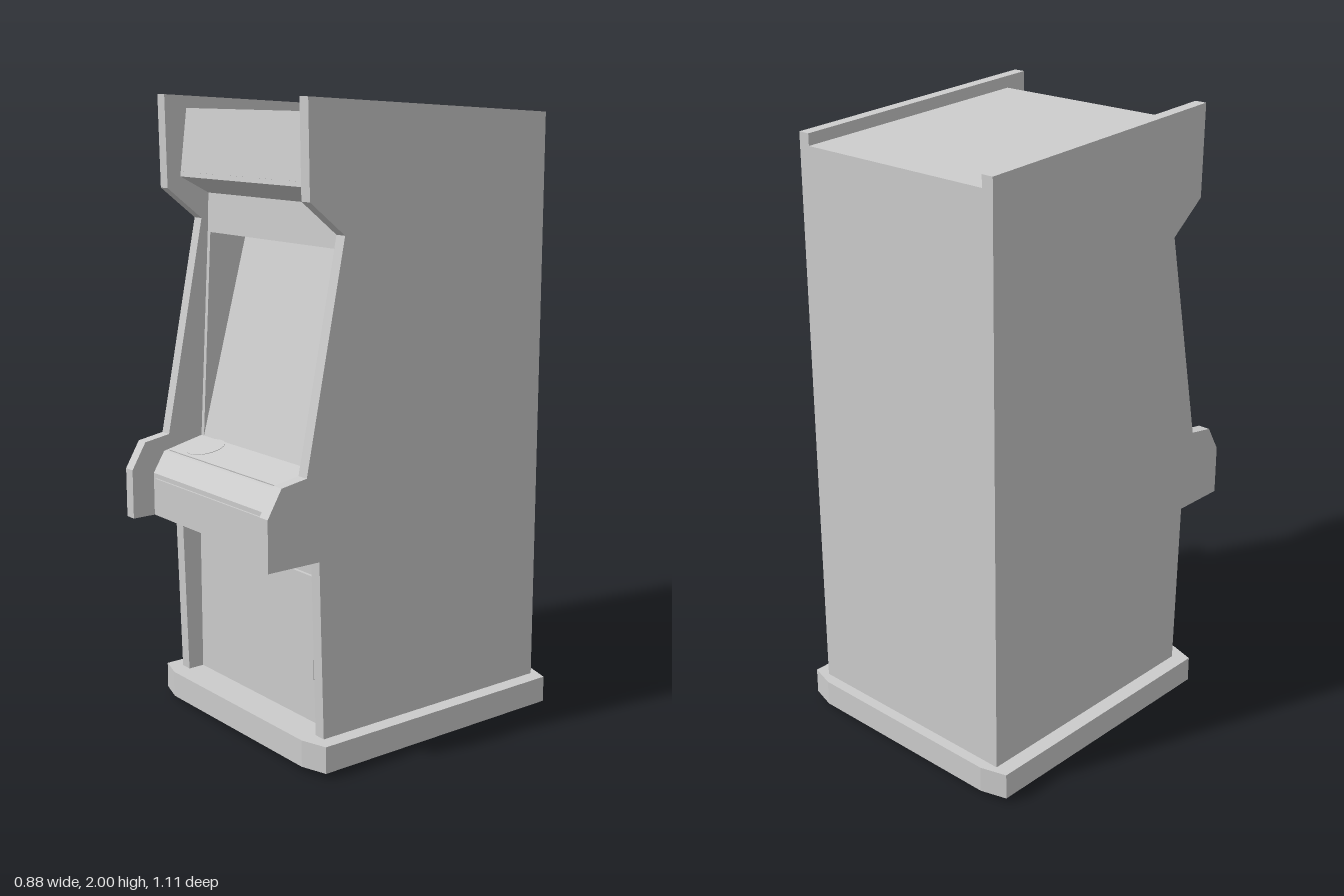
import * as THREE from 'three';

const grey = new THREE.MeshStandardMaterial({ color: 0xcccccc, flatShading: true });

function add(parent, geometry, name) {
  const mesh = new THREE.Mesh(geometry, grey);
  mesh.name = name;
  parent.add(mesh);
  return mesh;
}

// Extrudes a side profile of [z, y] points from x0 to x1 (x0 < x1).
function profile(points, x0, x1) {
  const shape = new THREE.Shape(points.map(([z, y]) => new THREE.Vector2(z, y)));
  const g = new THREE.ExtrudeGeometry(shape, { depth: x1 - x0, bevelEnabled: false });
  g.rotateY(-Math.PI / 2);
  return g.translate(x1, 0, 0);
}

// Thin plate lying on the face that runs from a to b, both [z, y].
function plate(a, b, halfWidth, thickness, x = 0) {
  const dz = b[0] - a[0], dy = b[1] - a[1];
  const g = new THREE.BoxGeometry(halfWidth * 2, Math.hypot(dz, dy), thickness * 2);
  g.rotateX(Math.atan2(dz, dy));
  return g.translate(x, (a[1] + b[1]) / 2, (a[0] + b[0]) / 2);
}

export function createModel() {
  const cabinet = new THREE.Group();
  cabinet.name = 'arcadeCabinet';

  // Plinth with shallow tapered front and back
  const outline = [
    [-0.44, 0.385], [-0.355, 0.412], [0.355, 0.412], [0.44, 0.385],
    [0.44, -0.53], [0.355, -0.555], [-0.355, -0.555], [-0.44, -0.53],
  ];
  const plinth = new THREE.ExtrudeGeometry(
    new THREE.Shape(outline.map(([x, z]) => new THREE.Vector2(x, -z))),
    { depth: 0.085, bevelEnabled: false });
  plinth.rotateX(-Math.PI / 2).translate(0, 0.016, 0);
  add(cabinet, plinth, 'plinth');

  // Side panels
  const side = [
    [-0.52, 0.1], [0.355, 0.1], [0.37, 0.66], [0.555, 0.66], [0.555, 0.82],
    [0.505, 0.905], [0.415, 0.92], [0.275, 1.61], [0.4, 1.71], [0.405, 2], [-0.52, 1.947],
  ];
  add(cabinet, profile(side, 0.35, 0.39), 'leftSidePanel');
  add(cabinet, profile(side, -0.39, -0.35), 'rightSidePanel');

  // Body between the side panels, with the sloping screen recess
  const screenTop = [0.11, 1.565], screenBottom = [0.29, 0.9];
  const bezelTop = [0.252, 1.565];
  add(cabinet, profile([
    [-0.52, 0.1], [0.3, 0.1], [0.3, 0.66], [0.476, 0.66], [0.476, 0.8], [0.435, 0.867],
    screenBottom, screenTop, bezelTop, [0.247, 1.69], [0.352, 1.745], [0.325, 1.957], [-0.52, 1.91],
  ], -0.35, 0.35), 'body');

  // Bezel cheeks beside the screen
  for (const [x0, name] of [[-0.35, 'rightBezel'], [0.335, 'leftBezel']]) {
    add(cabinet, profile([screenBottom, bezelTop, screenTop], x0, x0 + 0.015), name);
  }

  // Raised panels
  add(cabinet, plate([0.35, 1.76], [0.327, 1.94], 0.333, 0.004), 'marqueePanel');
  add(cabinet, plate([0.425, 0.869], [0.31, 0.895], 0.333, 0.004), 'controlPanel');
  add(cabinet, plate([0.476, 0.677], [0.476, 0.785], 0.333, 0.006), 'controlBoxFront');
  add(cabinet, plate([0.3, 0.245], [0.3, 0.575], 0.1135, 0.01, 0.168), 'coinDoor');

  // Round disc on the control panel
  const disc = add(cabinet, new THREE.CylinderGeometry(0.0625, 0.0625, 0.012, 32), 'controlDisc');
  disc.position.set(-0.229, 0.885, 0.352);
  disc.rotation.x = Math.atan2(0.026, 0.115);

  // Small feet
  for (const x of [-0.355, 0.355]) {
    for (const z of [-0.45, 0.31]) {
      const foot = add(cabinet, new THREE.CylinderGeometry(0.008, 0.006, 0.02, 10), 'foot');
      foot.position.set(x, 0.01, z);
    }
  }

  return cabinet;
}
